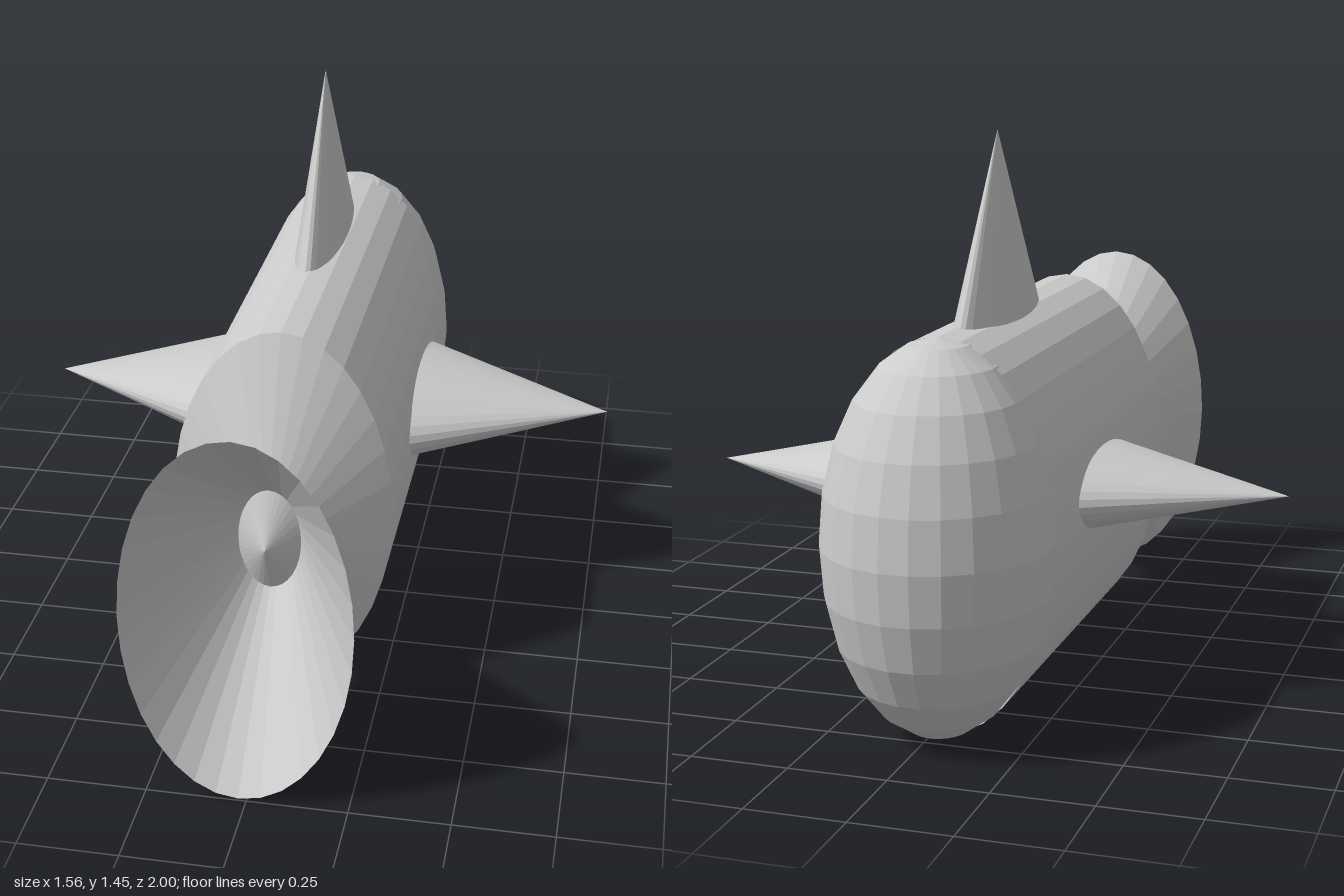
import * as THREE from 'three';

const SIDES = 32;
const CX = -0.02, CY = 0.5; // body axis
const RX = 0.285, RY = 0.495; // body half width and half height

const grey = new THREE.MeshStandardMaterial({ color: 0xcccccc, flatShading: true });
const greyOpen = new THREE.MeshStandardMaterial({ color: 0xcccccc, flatShading: true, side: THREE.DoubleSide });

function addMesh(group, name, geometry, material = grey) {
  const mesh = new THREE.Mesh(geometry, material);
  mesh.name = name;
  group.add(mesh);
  return mesh;
}

// Elliptical section along z, from z0 to z1, with radius factors k0 and k1
function section(z0, z1, k0, k1) {
  return new THREE.CylinderGeometry(k1, k0, z1 - z0, SIDES, 1, true)
    .rotateX(Math.PI / 2)
    .scale(RX, RY, 1)
    .translate(CX, CY, (z0 + z1) / 2);
}

// Flattened cone whose base is sunk into the body
function fin(halfWidth, halfThickness, height) {
  return new THREE.ConeGeometry(1, height, SIDES)
    .translate(0, -height / 2, 0) // tip at the origin
    .scale(halfThickness, 1, halfWidth);
}

export function createModel() {
  const model = new THREE.Group();
  model.name = 'fish';

  // Trunk and the cone that closes it at the tail end
  addMesh(model, 'body', section(-0.68, 0.43, 1, 1), greyOpen);
  addMesh(model, 'rearCone', section(0.43, 0.655, 1, 0));

  // Rounded head
  const head = new THREE.SphereGeometry(1, 24, 12)
    .rotateY(Math.PI / 24)
    .scale(RX, RY, 0.325)
    .translate(CX, CY, -0.678);
  addMesh(model, 'head', head);

  // Open flared tail
  addMesh(model, 'tail', section(0.43, 1, 0, 0.99), greyOpen);

  // Back fin
  const backFin = addMesh(model, 'backFin', fin(0.36, 0.075, 0.56));
  backFin.position.set(-0.03, 1.455, -0.25);

  // Side fins
  const leftFin = addMesh(model, 'leftFin', fin(0.335, 0.125, 0.6));
  leftFin.rotation.z = -Math.PI / 2;
  leftFin.position.set(0.775, 0.535, -0.188);

  const rightFin = addMesh(model, 'rightFin', fin(0.34, 0.125, 0.6));
  rightFin.rotation.z = Math.PI / 2;
  rightFin.position.set(-0.78, 0.54, -0.172);

  return model;
}
